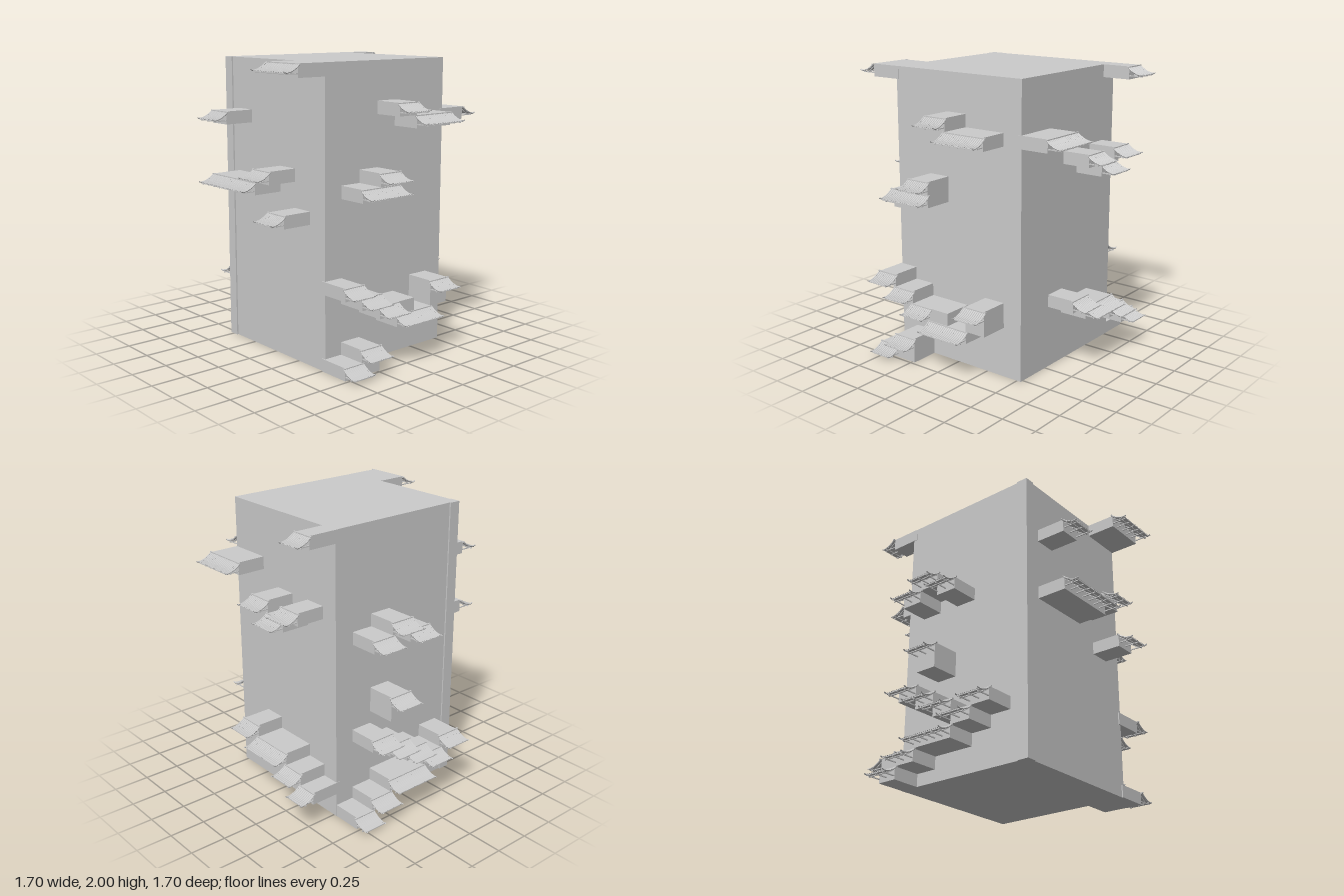
import * as THREE from 'three';
import { mergeGeometries } from 'three/addons/utils/BufferGeometryUtils.js';

const material = new THREE.MeshStandardMaterial({ color: 0xcccccc, flatShading: true, side: THREE.DoubleSide });
const STOREY = 2 / 23, CELL = 0.155, WALL = 0.73;

function add(parent, name, geometry, x = 0, y = 0, z = 0) {
  const mesh = new THREE.Mesh(geometry, material);
  mesh.name = name;
  mesh.position.set(x, y, z);
  parent.add(mesh);
  return mesh;
}

function box(parent, name, x0, x1, y0, y1, z0, z1) {
  return add(parent, name, new THREE.BoxGeometry(x1 - x0, y1 - y0, z1 - z0),
    (x0 + x1) / 2, (y0 + y1) / 2, (z0 + z1) / 2);
}

// Sagging roof line: out from the wall (z) and down (y)
const slope = new THREE.CatmullRomCurve3([
  [0, -0.004, 0], [0, -0.024, 0.025], [0, -0.042, 0.06], [0, -0.052, 0.105],
].map((p) => new THREE.Vector3(...p)));
const vergeLine = new THREE.CatmullRomCurve3([
  [0, 0, -0.004], [0, -0.022, 0.025], [0, -0.041, 0.06], [0, -0.05, 0.1], [0, -0.046, 0.118],
].map((p) => new THREE.Vector3(...p)));

// Curved awning with rows of round tiles, verges, ridge and rafters
function awning(width) {
  const group = new THREE.Group();
  group.name = 'awning';

  const pts = slope.getPoints(7);
  const shape = new THREE.Shape();
  pts.forEach((p, i) => (i ? shape.lineTo(-p.z, p.y) : shape.moveTo(-p.z, p.y)));
  [...pts].reverse().forEach((p) => shape.lineTo(-p.z, p.y - 0.006));
  const sheet = new THREE.ExtrudeGeometry(shape, { depth: width, bevelEnabled: false });
  sheet.translate(0, 0, -width / 2).rotateY(Math.PI / 2);
  add(group, 'roofSheet', sheet);

  const rows = Math.round(width / 0.0165), tiles = [];
  for (let i = 0; i <= rows; i++) {
    const row = new THREE.TubeGeometry(slope, 6, 0.0052, 6);
    tiles.push(row.translate(-width / 2 + (i * width) / rows, 0, 0));
  }
  add(group, 'tileRows', mergeGeometries(tiles));

  for (const s of [-1, 1])
    add(group, 'verge', new THREE.TubeGeometry(vergeLine, 7, 0.005, 6), s * width / 2, 0, 0);

  box(group, 'ridge', -width / 2 - 0.008, width / 2 + 0.008, -0.006, 0.002, -0.004, 0.006);
  box(group, 'eaveBeam', -width / 2 - 0.006, width / 2 + 0.006, -0.061, -0.055, 0.07, 0.077);

  // Rafters and slanted struts under the roof
  const rafters = Math.max(2, Math.round(width / 0.06));
  for (let i = 0; i < rafters; i++) {
    const x = -width / 2 + 0.015 + (i * (width - 0.03)) / (rafters - 1);
    box(group, 'rafter', x - 0.003, x + 0.003, -0.063, -0.056, 0, 0.1);
    const strut = box(group, 'strut', x - 0.0025, x + 0.0025, -0.041, -0.036, 0, 0.065);
    strut.rotation.x = 0.6;
  }
  return group;
}

// Each bay: first cell, cells wide, top storey, storeys tall (1), has awning (true)
const sides = [
  { name: 'frontBays', turn: 0, origin: -0.555,
    bays: [[1, 1, 19], [4, 1, 15], [1, 3, 14], [5, 1, 12], [5, 2, 23]] },
  { name: 'leftBays', turn: Math.PI / 2, origin: -0.54,
    bays: [[3, 1, 20], [4, 2, 19], [2, 1, 15], [1, 2, 14], [0, 1, 7], [1, 1, 6], [2, 1, 5],
      [3, 1, 5, 1, false], [3, 2, 4], [5, 1, 6, 2], [1, 1, 2, 2], [0, 1, 1]] },
  { name: 'backBays', turn: Math.PI, origin: -0.53,
    bays: [[0, 2, 19], [3, 1, 17], [4, 1, 16], [5, 1, 17], [6, 1, 23],
      [2, 1, 6], [3, 2, 5], [5, 1, 4], [6, 1, 3]] },
  { name: 'rightBays', turn: -Math.PI / 2, origin: -0.545,
    bays: [[2, 1, 16], [1, 1, 15], [3, 1, 15], [2, 1, 10, 2], [1, 1, 7], [2, 1, 6], [3, 1, 5],
      [5, 1, 5], [4, 1, 4], [2, 2, 3], [1, 1, 2], [0, 1, 1]] },
];

export function createModel() {
  const model = new THREE.Group();
  model.name = 'tower';
  box(model, 'towerBody', -0.525, 0.525, 0, 2, -0.53, 0.52);
  box(model, 'cornerColumn', -0.535, -0.46, 0, 2, 0.45, 0.53);

  for (const { name, turn, origin, bays } of sides) {
    const side = new THREE.Group();
    side.name = name;
    side.rotation.y = turn;
    const edge = (k) => THREE.MathUtils.clamp(origin + k * CELL, -0.528, 0.528);
    for (const [first, count, level, tall = 1, roofed = true] of bays) {
      const u0 = edge(first), u1 = edge(first + count), top = level * STOREY;
      box(side, 'bay', u0, u1, top - tall * STOREY, top, 0.5, WALL);
      if (!roofed) continue;
      const roof = awning(u1 - u0 + 0.022);
      roof.position.set((u0 + u1) / 2, top - 0.002, WALL);
      side.add(roof);
    }
    model.add(side);
  }
  return model;
}
